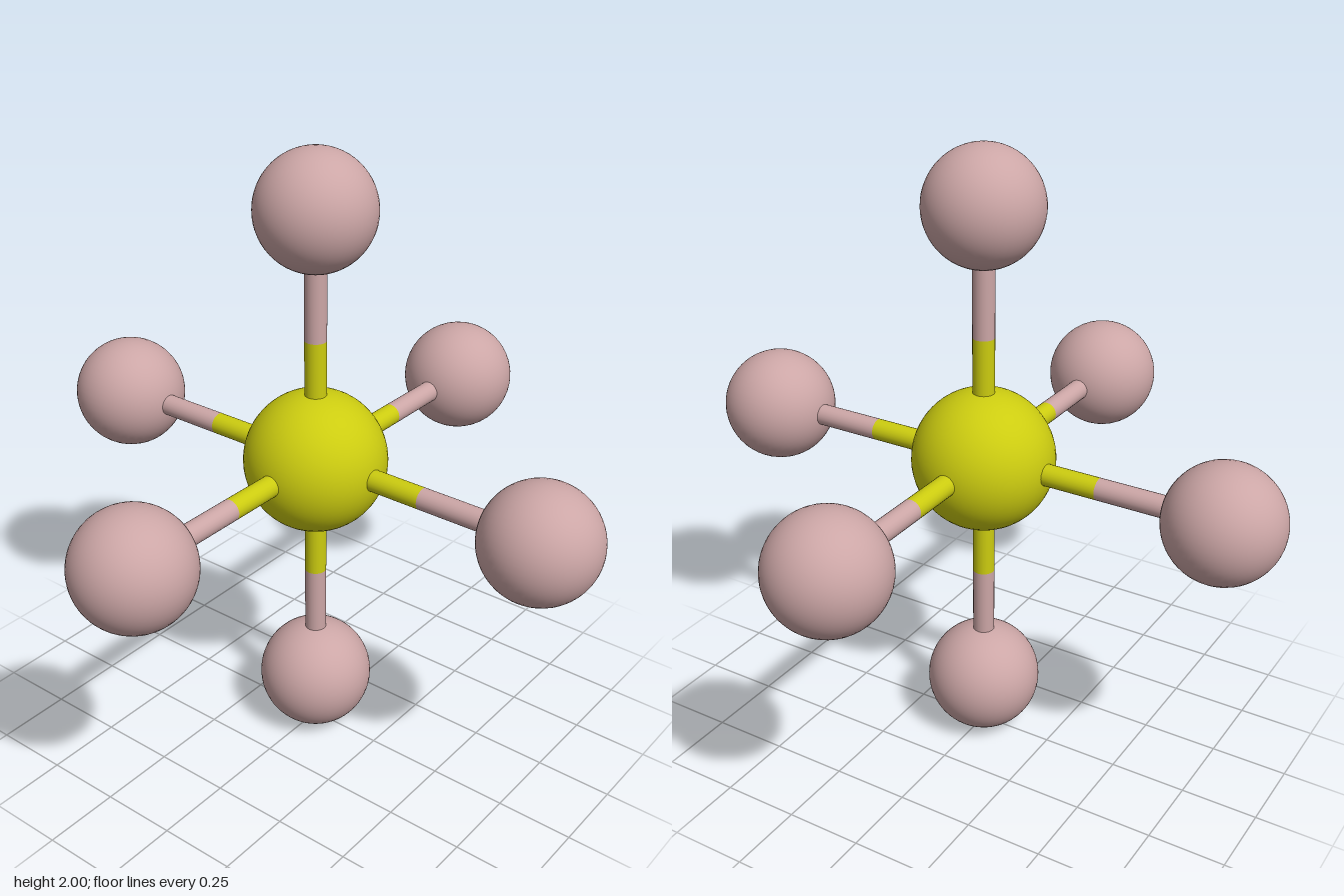
import * as THREE from 'three';

const CENTRE_R = 0.229, OUTER_R = 0.186, ROD_R = 0.035;
const REACH = 1 - OUTER_R; // distance from the centre to each outer ball
const SPLIT = REACH / 2;   // where the rod changes colour

export function createModel() {
  const model = new THREE.Group();
  model.name = 'octahedralMolecule';

  const yellow = new THREE.MeshStandardMaterial({ color: 0xcccc10 });
  const pink = new THREE.MeshStandardMaterial({ color: 0xcca6a6 });

  const add = (parent, name, geometry, material, y = 0) => {
    const mesh = new THREE.Mesh(geometry, material);
    mesh.name = name;
    mesh.position.y = y;
    parent.add(mesh);
  };

  // Central ball
  add(model, 'centralBall', new THREE.SphereGeometry(CENTRE_R, 48, 32), yellow, 1);

  // Shared arm parts, built along +y
  const ball = new THREE.SphereGeometry(OUTER_R, 48, 32);
  const halfRod = new THREE.CylinderGeometry(ROD_R, ROD_R, SPLIT, 24, 1, true);

  // Six arms: a two-coloured rod ending in a ball
  const arms = {
    top: [0, 1, 0], bottom: [0, -1, 0],
    left: [1, 0, 0], right: [-1, 0, 0],
    front: [0, 0, 1], back: [0, 0, -1],
  };
  const up = new THREE.Vector3(0, 1, 0);
  for (const [side, direction] of Object.entries(arms)) {
    const arm = new THREE.Group();
    arm.name = `${side}Arm`;
    add(arm, `${side}InnerRod`, halfRod, yellow, SPLIT / 2);
    add(arm, `${side}OuterRod`, halfRod, pink, SPLIT * 1.5);
    add(arm, `${side}Ball`, ball, pink, REACH);
    arm.position.y = 1;
    arm.quaternion.setFromUnitVectors(up, new THREE.Vector3(...direction));
    model.add(arm);
  }

  return model;
}
